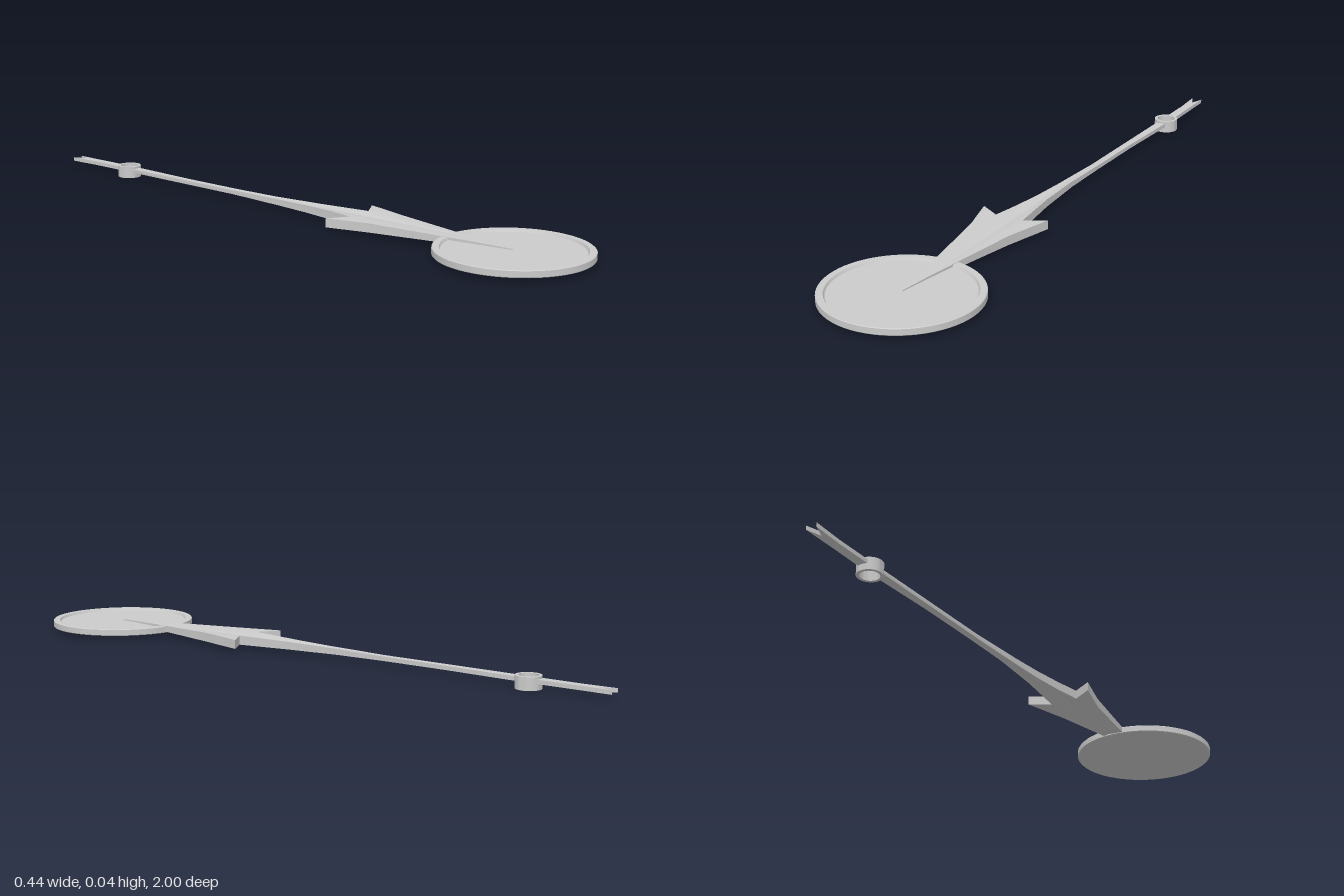
import * as THREE from 'three';
import { toCreasedNormals } from 'three/addons/utils/BufferGeometryUtils.js';

const material = new THREE.MeshStandardMaterial({ color: 0xcccccc });
const MID_Y = 0.025;

// Half thickness of the pointer along z: [z, half thickness]
const THICKNESS = [[-1, 0.006], [-0.3, 0.006], [-0.13, 0.008], [0.1, 0.012], [0.2, 0.0135], [0.45, 0.0135], [0.77, 0.004]];

function halfThickness(z) {
  for (let i = 1; i < THICKNESS.length; i++) {
    const [z0, h0] = THICKNESS[i - 1], [z1, h1] = THICKNESS[i];
    if (z <= z1) return THREE.MathUtils.mapLinear(z, z0, z1, h0, h1);
  }
  return THICKNESS.at(-1)[1];
}

// Flat outline of [x, z] points, thickened by the rule above
function blade(name, outline) {
  const shape = new THREE.Shape(outline.map(([x, z]) => new THREE.Vector2(x, -z)));
  const geometry = new THREE.ExtrudeGeometry(shape, { depth: 1, bevelEnabled: false });
  geometry.rotateX(-Math.PI / 2);
  const p = geometry.attributes.position;
  for (let i = 0; i < p.count; i++) {
    p.setY(i, MID_Y + (p.getY(i) - 0.5) * 2 * halfThickness(p.getZ(i)));
  }
  const mesh = new THREE.Mesh(toCreasedNormals(geometry, 0.3), material);
  mesh.name = name;
  return mesh;
}

// Round part turned from an [radius, y] profile
function turned(name, profile, segments, x, z) {
  const points = profile.map(([r, y]) => new THREE.Vector2(r, y));
  const geometry = toCreasedNormals(new THREE.LatheGeometry(points, segments), 0.5);
  const mesh = new THREE.Mesh(geometry, material);
  mesh.name = name;
  mesh.position.set(x, 0, z);
  return mesh;
}

export function createModel() {
  const model = new THREE.Group();
  model.name = 'pointerWithDisc';

  // Shallow dish with a raised rim
  model.add(turned('disc', [
    [0, 0.012], [0.22, 0.012], [0.222, 0.014], [0.222, 0.031], [0.22, 0.033],
    [0.202, 0.033], [0.198, 0.026], [0, 0.026],
  ], 64, 0, 0.778));

  // Barbed arrow head running into the slender, curved shaft
  model.add(blade('arrowAndShaft', [
    [0, 0.775], [-0.008, 0.66], [-0.034, 0.328], [-0.06, 0.197], [0, 0.24],
    [0.022, 0.15], [0.041, 0.05], [0.056, -0.06], [0.079, -0.26], [0.098, -0.48], [0.118, -0.71],
    [0.147, -0.71], [0.12, -0.48], [0.1, -0.26], [0.086, -0.1], [0.081, 0.07], [0.087, 0.245],
    [0.152, 0.214], [0.1, 0.365], [0.024, 0.67],
  ]));

  // Open pivot eye
  model.add(turned('pivotRing', [
    [0.028, 0.001], [0.037, 0.001], [0.037, 0.038], [0.028, 0.038], [0.028, 0.001],
  ], 32, 0.137, -0.745));

  // Forked tail behind the pivot
  model.add(blade('forkedTail', [
    [0.124, -0.778], [0.154, -0.778], [0.16, -0.87], [0.17, -0.997], [0.152, -0.953], [0.137, -1], [0.134, -0.9],
  ]));

  return model;
}
